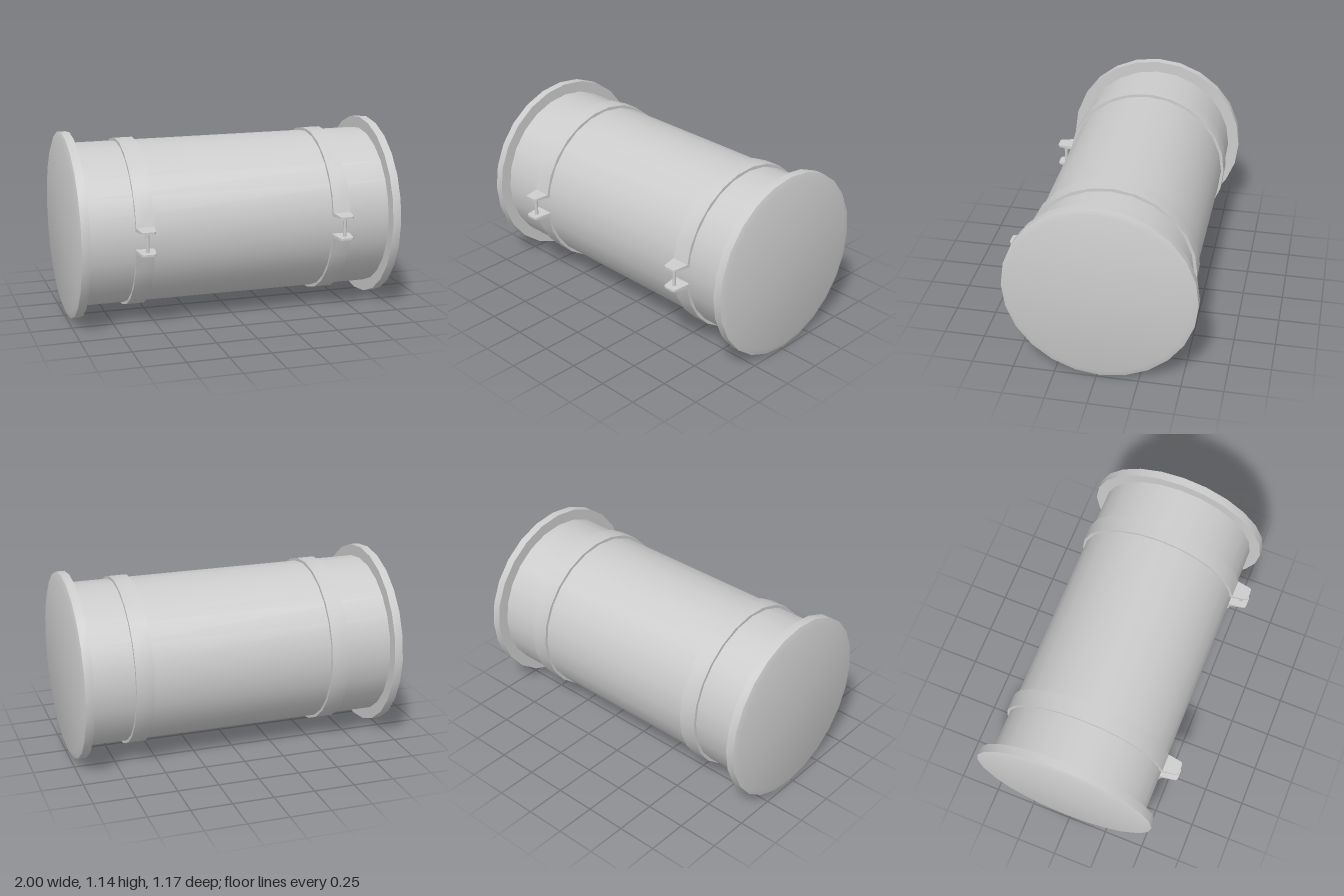
import * as THREE from 'three';
import { toCreasedNormals } from 'three/addons/utils/BufferGeometryUtils.js';

const SIDES = 24;
const CY = 0.571, CZ = -0.018; // drum axis
const material = new THREE.MeshStandardMaterial({ color: 0xcccccc });

function part(name, geometry) {
  const mesh = new THREE.Mesh(geometry, material);
  mesh.name = name;
  return mesh;
}

// Revolves [radius, x] pairs around the x axis; angle 0 faces the front.
function turned(profile, segments = SIDES, start = 0, sweep = Math.PI * 2) {
  const points = profile.map(([r, x]) => new THREE.Vector2(r, x));
  const geometry = new THREE.LatheGeometry(points, segments, start, sweep);
  geometry.rotateZ(-Math.PI / 2);
  return toCreasedNormals(geometry, 0.6);
}

// Clamp ear: rounded trapezoid plate that thins towards its tip.
function earGeometry() {
  const back = 0.46, base = 0.51, tip = 0.603, r = 0.016;
  const s = new THREE.Shape();
  s.moveTo(-0.055, back);
  s.lineTo(0.055, back);
  s.lineTo(0.055, base);
  s.lineTo(0.043, tip - r);
  s.quadraticCurveTo(0.04, tip, 0.04 - r, tip);
  s.lineTo(-0.04 + r, tip);
  s.quadraticCurveTo(-0.04, tip, -0.043, tip - r);
  s.lineTo(-0.055, base);
  s.closePath();
  const geometry = new THREE.ExtrudeGeometry(s, { depth: 1, bevelEnabled: false, curveSegments: 4 });
  geometry.translate(0, 0, -0.5);
  geometry.rotateX(Math.PI / 2);
  const p = geometry.attributes.position;
  for (let i = 0; i < p.count; i++) {
    const t = (p.getZ(i) - back) / (tip - back);
    p.setY(i, p.getY(i) * THREE.MathUtils.lerp(0.026, 0.012, t));
  }
  return toCreasedNormals(geometry, 0.6);
}

// Split band with two ears joined by a bolt.
function createClamp(name, x) {
  const clamp = new THREE.Group();
  clamp.name = name;
  clamp.position.x = x;
  const gap = THREE.MathUtils.degToRad(7.5), w = 0.054;
  clamp.add(part('clampBand', turned(
    [[0.48, -w], [0.515, -w], [0.515, w], [0.48, w]],
    SIDES, gap, Math.PI * 2 - 2 * gap)));
  for (const side of [1, -1]) {
    const ear = part(side > 0 ? 'upperEar' : 'lowerEar', earGeometry());
    ear.position.y = 0.004 + side * 0.066;
    clamp.add(ear);
  }
  const bolt = part('clampBolt', new THREE.CylinderGeometry(0.011, 0.011, 0.13, 12));
  bolt.position.set(0, 0.004, 0.558);
  clamp.add(bolt);
  return clamp;
}

export function createModel() {
  const model = new THREE.Group();
  model.name = 'drum';
  const drum = new THREE.Group();
  drum.name = 'drumAssembly';
  drum.position.set(0, CY, CZ);
  model.add(drum);

  // Main cylinder
  drum.add(part('barrel', turned([[0.497, -0.95], [0.497, 0.95]])));

  // End flanges with slightly bevelled outer faces
  for (const side of [1, -1]) {
    const flange = part(side > 0 ? 'leftFlange' : 'rightFlange', turned(
      [[0, 0.934], [0.568, 0.934], [0.568, 0.985], [0.53, 0.998], [0, 1]]));
    if (side < 0) flange.rotation.y = Math.PI;
    drum.add(flange);
  }

  // Two clamps around the barrel
  drum.add(createClamp('rightClamp', -0.6));
  drum.add(createClamp('leftClamp', 0.62));
  return model;
}
